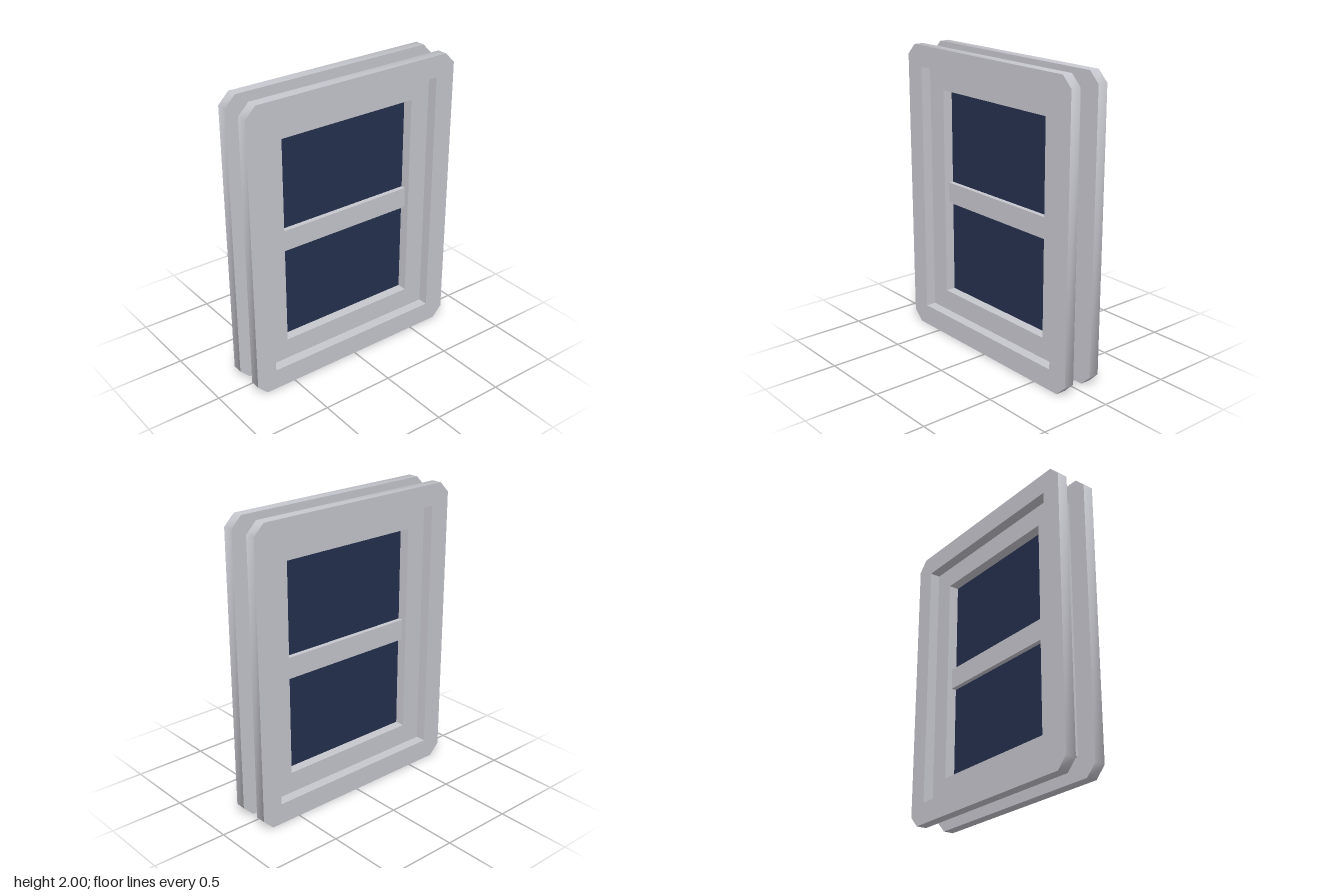
import * as THREE from 'three';
import { toCreasedNormals } from 'three/addons/utils/BufferGeometryUtils.js';

const H = 2, W = 1.574;          // overall height and width
const STEP = 0.143;              // inset from each frame to the next
const T = 0.071;                 // thickness of one flange
const CHAMFER = 0.072;

// Rectangle centred on the origin, with optional cut corners
function outline(path, w, h, c = 0) {
  const x = w / 2, y = h / 2;
  const pts = c
    ? [[x - c, -y], [x, -y + c], [x, y - c], [x - c, y], [-x + c, y], [-x, y - c], [-x, -y + c], [-x + c, -y]]
    : [[x, -y], [x, y], [-x, y], [-x, -y]];
  path.setFromPoints(pts.map(([a, b]) => new THREE.Vector2(a, b)));
  path.closePath();
  return path;
}

// Flat ring with a rectangular opening, extruded from z0 by depth
function ring(w, h, chamfer, z0, depth) {
  const shape = outline(new THREE.Shape(), w, h, chamfer);
  shape.holes.push(outline(new THREE.Path(), w - 2 * STEP, h - 2 * STEP));
  const geo = new THREE.ExtrudeGeometry(shape, { depth, bevelEnabled: false });
  geo.translate(0, H / 2, z0);
  return toCreasedNormals(geo, THREE.MathUtils.degToRad(50));
}

export function createModel() {
  const model = new THREE.Group();
  model.name = 'window';

  const frameMat = new THREE.MeshStandardMaterial({ color: 0xc6c6ce });
  frameMat.name = 'paleGreyFrame';
  const glassMat = new THREE.MeshStandardMaterial({ color: 0x24304e });
  glassMat.name = 'darkBlueGlass';

  const add = (name, geo, mat) => {
    const mesh = new THREE.Mesh(geo, mat);
    mesh.name = name;
    model.add(mesh);
    return mesh;
  };

  // Chamfered flanges on both faces of the wall
  add('frontFlange', ring(W, H, CHAMFER, T, T), frameMat);
  add('backFlange', ring(W, H, CHAMFER, -2 * T, T), frameMat);

  // Inner frame joining the flanges
  const innerW = W - 2 * STEP, innerH = H - 2 * STEP;
  add('innerFrame', ring(innerW, innerH, 0, -T, 2 * T), frameMat);

  // Crossbar and panes
  const paneW = innerW - 2 * STEP, paneH = innerH - 2 * STEP;
  add('crossbar', new THREE.BoxGeometry(paneW, STEP, T), frameMat).position.y = H / 2;
  const half = (paneH - STEP) / 2;
  for (const [name, side] of [['upperPane', 1], ['lowerPane', -1]]) {
    add(name, new THREE.BoxGeometry(paneW, half, 0.004), glassMat)
      .position.y = H / 2 + side * (STEP + half) / 2;
  }
  return model;
}
